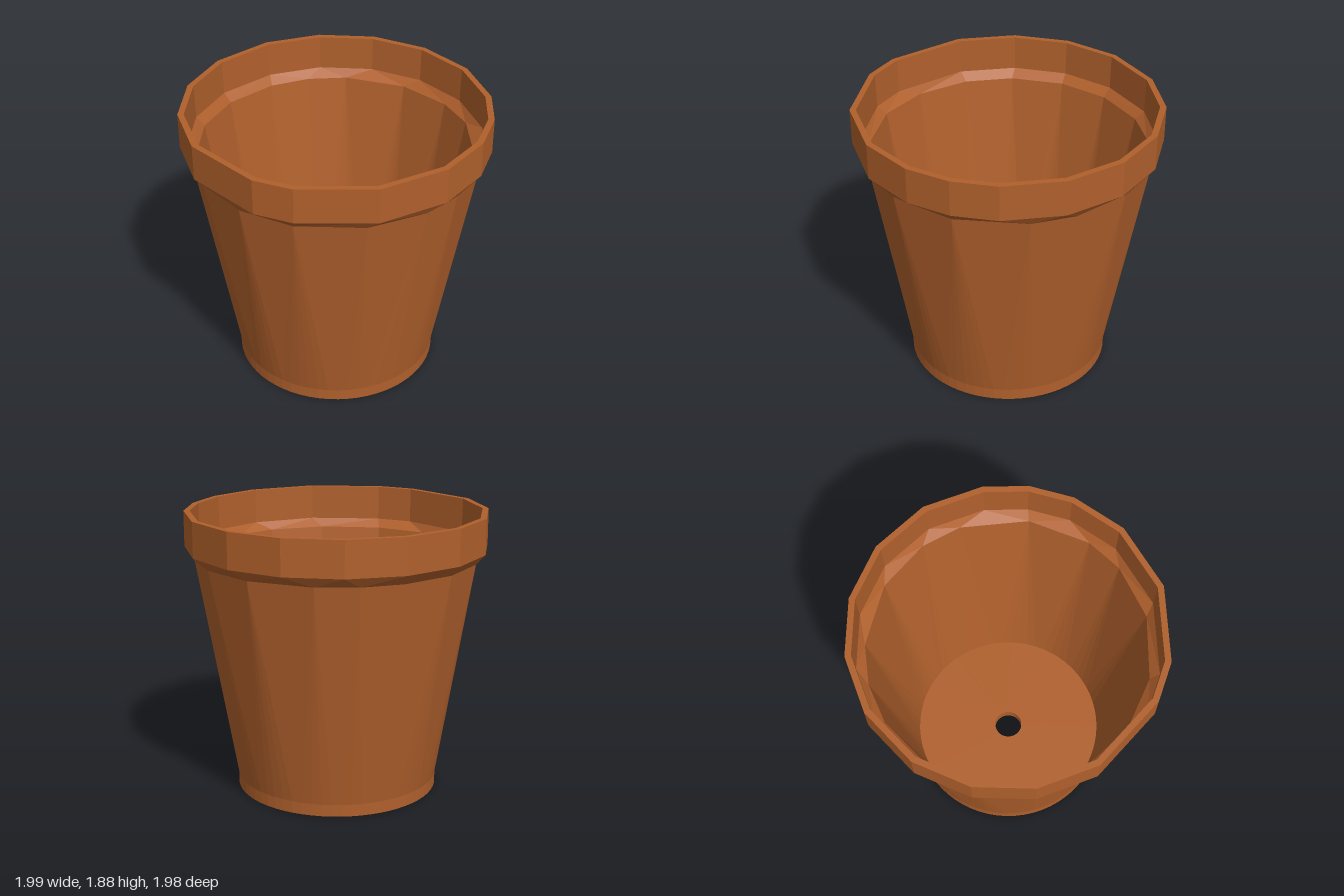
import * as THREE from 'three';

const COLUMNS = 64;

// Corner angles in degrees of the irregular, low-poly rings
const RIM = [-6, 17, 34, 51, 72.5, 99, 128, 143, 174, 197, 219, 241, 265, 287, 309, 331];
const WALL = [6, 35, 62, 78.5, 102.5, 129.5, 152, 175, 196, 219, 241, 264, 281, 298, 325, 348.5];

// Nearest corner to an angle, so that neighbouring columns merge into wide facets
function snap(angle, corners) {
  const gap = (c) => Math.abs(((angle - c + 540) % 360) - 180);
  return corners.reduce((best, c) => (gap(c) < gap(best) ? c : best));
}

// One ring of points; without corners it is a smooth circle
function ring([radius, y, corners]) {
  return Array.from({ length: COLUMNS }, (_, i) => {
    const angle = (i * 360) / COLUMNS;
    const a = THREE.MathUtils.degToRad(corners ? snap(angle, corners) : angle);
    return new THREE.Vector3(radius * Math.cos(a), y, radius * Math.sin(a));
  });
}

// Surface through a series of rings, leaving out collapsed triangles
function skin(name, profile, material) {
  const rings = profile.map(ring);
  const points = [];
  const triangle = (a, b, c) => {
    if (!a.equals(b) && !b.equals(c) && !c.equals(a)) points.push(a, b, c);
  };
  for (let r = 0; r < rings.length - 1; r++) {
    for (let i = 0; i < COLUMNS; i++) {
      const j = (i + 1) % COLUMNS;
      const [low, high] = [rings[r], rings[r + 1]];
      triangle(low[i], high[i], low[j]);
      triangle(low[j], high[i], high[j]);
    }
  }
  const geometry = new THREE.BufferGeometry().setFromPoints(points);
  geometry.computeVertexNormals();
  const mesh = new THREE.Mesh(geometry, material);
  mesh.name = name;
  return mesh;
}

export function createModel() {
  const pot = new THREE.Group();
  pot.name = 'flowerPot';
  const clay = new THREE.MeshStandardMaterial({ color: 0xb0602c, flatShading: true });

  // Each ring is radius, height, corners; the order runs up the outside and down the inside
  const holeBottom = [0.095, 0];
  const footBottom = [0.675, 0];
  const footTop = [0.675, 0.08];
  const wallTop = [0.94, 1.58, WALL];
  const rimBottom = [1, 1.645, RIM];
  const rimTop = [1, 1.88, RIM];
  const rimInside = [0.96, 1.88, RIM];
  const ledgeOuter = [0.955, 1.65, RIM];
  const ledgeInner = [0.9, 1.595, WALL];
  const floorEdge = [0.65, 0.08];
  const holeTop = [0.095, 0.08];

  pot.add(
    skin('underside', [holeBottom, footBottom], clay),
    skin('foot', [footBottom, footTop], clay),
    skin('outerWall', [footTop, wallTop], clay),
    skin('rim', [wallTop, rimBottom, rimTop, rimInside, ledgeOuter, ledgeInner], clay),
    skin('innerWall', [ledgeInner, floorEdge], clay),
    skin('floor', [floorEdge, holeTop], clay),
    skin('drainHole', [holeTop, holeBottom], clay)
  );
  return pot;
}
